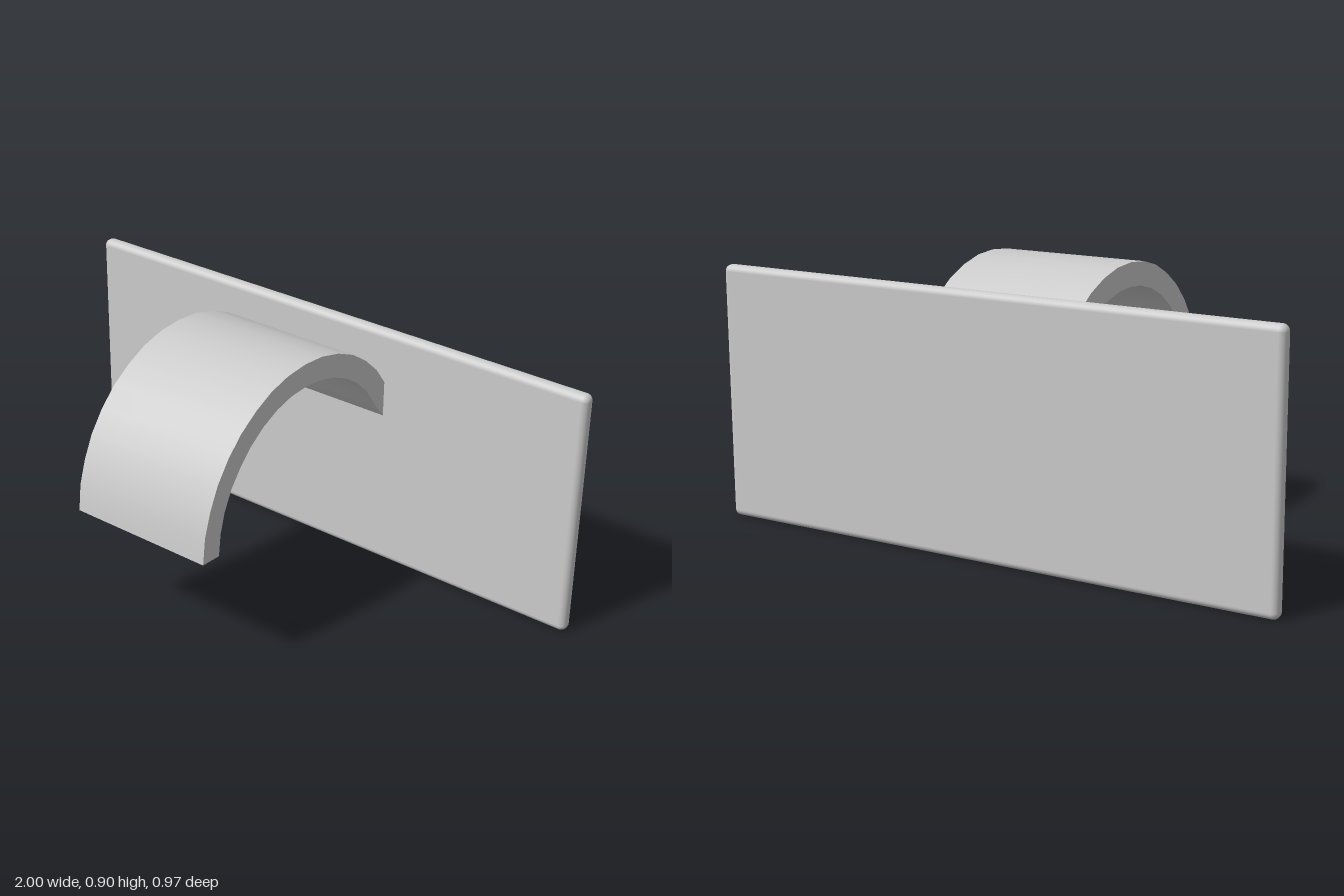
import * as THREE from 'three';
import { toCreasedNormals } from 'three/addons/utils/BufferGeometryUtils.js';
import { RoundedBoxGeometry } from 'three/addons/geometries/RoundedBoxGeometry.js';

// Arch profile as [z, y], front foot to back panel
const OUTER = [
  [0.485, 0.41], [0.475, 0.5], [0.45, 0.58], [0.415, 0.655], [0.365, 0.725], [0.305, 0.785],
  [0.235, 0.833], [0.16, 0.87], [0.08, 0.892], [-0.005, 0.9], [-0.09, 0.895], [-0.175, 0.874],
  [-0.255, 0.84], [-0.325, 0.793], [-0.387, 0.737], [-0.445, 0.661],
];
const INNER = [
  [0.411, 0.408], [0.403, 0.48], [0.383, 0.55], [0.35, 0.617], [0.307, 0.674], [0.26, 0.722],
  [0.2, 0.765], [0.133, 0.797], [0.063, 0.816], [-0.01, 0.822], [-0.08, 0.817], [-0.15, 0.8],
  [-0.215, 0.772], [-0.275, 0.735], [-0.333, 0.683], [-0.39, 0.605], [-0.445, 0.539],
];

export function createModel() {
  const group = new THREE.Group();
  const material = new THREE.MeshStandardMaterial({ color: 0xcccccc });
  const add = (name, geometry) => {
    const mesh = new THREE.Mesh(geometry, material);
    mesh.name = name;
    group.add(mesh);
    return mesh;
  };

  // Upright panel with rounded edges
  add('panel', new RoundedBoxGeometry(2, 0.854, 0.05, 4, 0.022)).position.set(0, 0.427, -0.459);

  // Curved band reaching forward from the panel, extruded across x
  const outline = [...OUTER, ...INNER.slice().reverse()];
  const shape = new THREE.Shape(outline.map(([z, y]) => new THREE.Vector2(-z, y)));
  const width = 0.517;
  const band = new THREE.ExtrudeGeometry(shape, { depth: width, bevelEnabled: false });
  band.translate(0, 0, -width / 2).rotateY(Math.PI / 2);
  add('curvedBand', toCreasedNormals(band, 0.6));

  return group;
}
